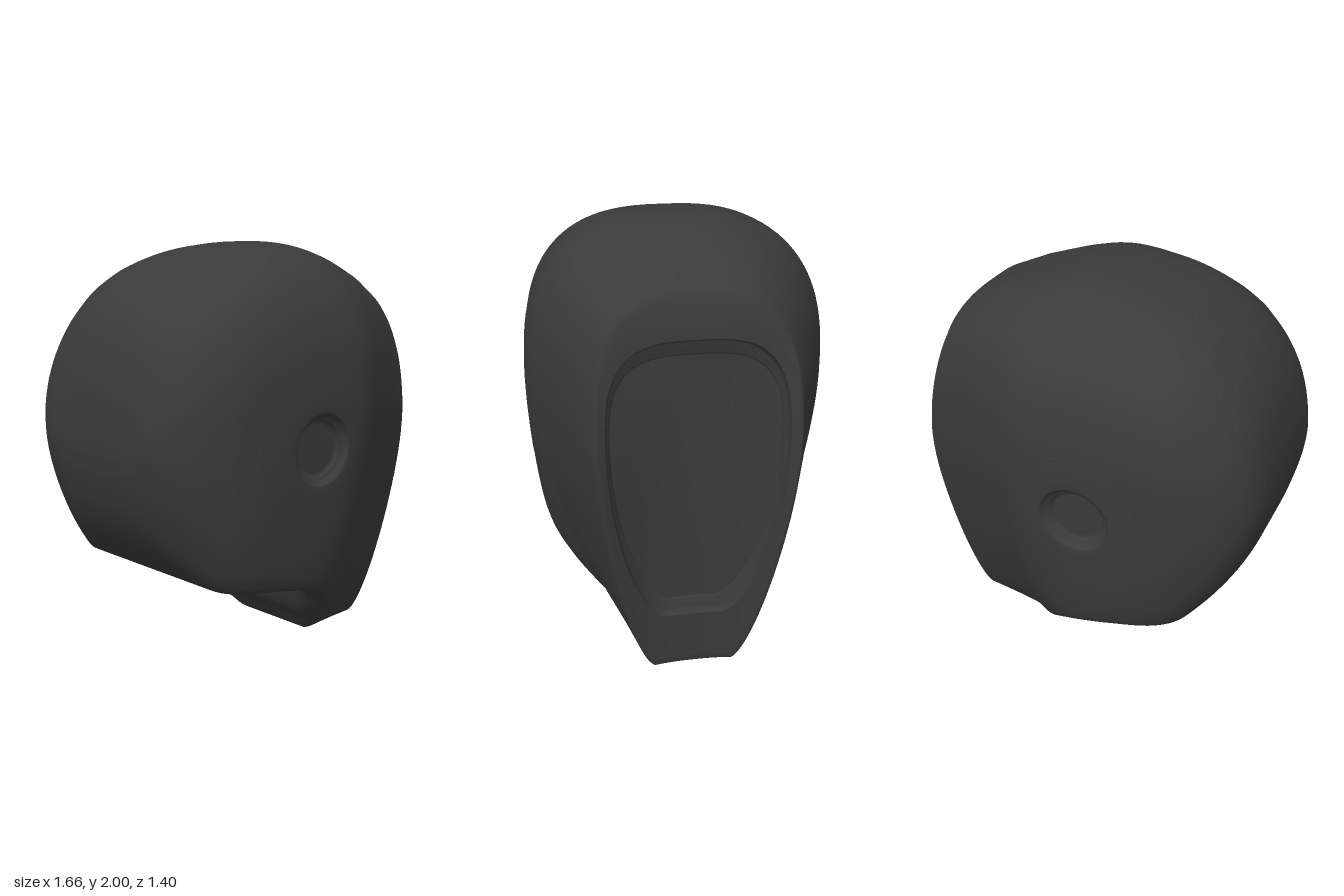
import * as THREE from 'three';

const material = new THREE.MeshStandardMaterial({ color: 0x3a3a3a, side: THREE.DoubleSide });
const { lerp, smoothstep } = THREE.MathUtils;

// Shell sections from back to front:
// x, bottom, top, half width, half width of flat bottom, widest height, lower and upper roundness
const ROWS = [
  [-0.832, 1.08, 1.22, 0.28, 0.05, 1.15, 2.2, 2],
  [-0.82, 0.98, 1.35, 0.37, 0.08, 1.16, 2.3, 2.1],
  [-0.77, 0.81, 1.55, 0.465, 0.14, 1.18, 2.4, 2.3],
  [-0.68, 0.65, 1.71, 0.545, 0.25, 1.2, 2.5, 2.4],
  [-0.56, 0.51, 1.825, 0.61, 0.38, 1.22, 2.5, 2.5],
  [-0.5, 0.475, 1.863, 0.632, 0.45, 1.23, 2.4, 2.55],
  [-0.4, 0.465, 1.912, 0.655, 0.53, 1.24, 2.3, 2.6],
  [-0.22, 0.45, 1.965, 0.677, 0.59, 1.25, 2.1, 2.7],
  [-0.04, 0.4, 1.993, 0.69, 0.59, 1.25, 2, 2.7],
  [0.08, 0.32, 2, 0.697, 0.53, 1.25, 1.9, 2.7],
  [0.17, 0.2, 1.992, 0.694, 0.42, 1.25, 1.75, 2.7],
  [0.25, 0.11, 1.975, 0.676, 0.32, 1.25, 1.65, 2.7],
  [0.32, 0.02, 1.955, 0.648, 0.215, 1.25, 1.6, 2.75],
  [0.5, 0.005, 1.895, 0.572, 0.19, 1.23, 1.55, 2.8],
];
const EAR = { x: -0.09, y: 1.09, cut: 0.17 };

// Smoothly interpolated section at row position t
function rowAt(t) {
  const last = ROWS.length - 1, i = Math.min(Math.floor(t), last - 1), f = t - i;
  const [a, b, c, d] = [i - 1, i, i + 1, i + 2].map((k) => ROWS[Math.min(Math.max(k, 0), last)]);
  const h = c[0] - b[0];
  return b.map((v, k) => {
    const m0 = h * (c[k] - a[k]) / (c[0] - a[0]), m1 = h * (d[k] - v) / (d[0] - b[0]), e = c[k] - v;
    return v + f * (m0 + f * (3 * e - 2 * m0 - m1 + f * (m0 + m1 - 2 * e)));
  });
}

// Closed loop: flat bottom, rounded lower side, rounded top, mirrored across z
function makeLoop([x, yb, yt, w, wb, yc, m, n], xOf = () => x, neckDepth = 0) {
  const half = [];
  const add = (y, z) => half.push(new THREE.Vector3(xOf(y, z), y, z));
  for (let i = 0; i < 18; i++) {
    const s = i / 18;
    add(yb + neckDepth * (1 - smoothstep(s, 0.66, 0.84)), wb * s);
  }
  for (let i = 0; i < 28; i++) {
    const a = (i / 28) * Math.PI / 2;
    add(yc - (yc - yb) * Math.cos(a) ** (2 / m), wb + (w - wb) * Math.sin(a) ** (2 / m));
  }
  for (let i = 0; i <= 28; i++) {
    const a = (i / 28) * Math.PI / 2;
    add(yc + (yt - yc) * Math.sin(a) ** (2 / n), w * Math.max(0, Math.cos(a)) ** (2 / n));
  }
  half[half.length - 1].z = 0;
  const mirror = half.slice(1, -1).reverse().map((p) => new THREE.Vector3(p.x, p.y, -p.z));
  return [...half, ...mirror];
}

// Skin a list of loops; triangles with a corner where skip() is true are left out
function loft(name, loops, skip) {
  const n = loops[0].length, index = [], pts = loops.flat();
  for (let i = 0; i < loops.length - 1; i++) {
    for (let j = 0; j < n; j++) {
      const a = i * n + j, b = i * n + (j + 1) % n;
      index.push(a, a + n, b + n, a, b + n, b);
    }
  }
  const g = new THREE.BufferGeometry().setFromPoints(pts);
  g.setIndex(index);
  g.computeVertexNormals();
  if (skip) {
    const kept = [];
    for (let i = 0; i < index.length; i += 3) {
      const tri = index.slice(i, i + 3);
      if (!tri.some((k) => skip(pts[k]))) kept.push(...tri);
    }
    g.setIndex(kept);
  }
  const mesh = new THREE.Mesh(g, material);
  mesh.name = name;
  return mesh;
}

// Front surface: hollow across the middle, rolling back over the brow
function frontX(y, z) {
  const centre = 0.728 - 1.1 * Math.max(0, y - 1.6) ** 2 - 0.015 * Math.max(0, 0.8 - y);
  const hollow = 1 - Math.min(1, Math.max(0, (y - 0.9) / 0.76)) ** 2;
  return centre + 0.86 * hollow * Math.abs(z) ** 2.5;
}
const faceLoop = (dims, offset = 0) => makeLoop([0, ...dims], (y, z) => frontX(y, z) + offset);

// Half width of the shell at a point on its side
function sideZ(x, y) {
  let lo = 0, hi = ROWS.length - 1;
  for (let k = 0; k < 30; k++) {
    const mid = (lo + hi) / 2;
    if (rowAt(mid)[0] < x) lo = mid; else hi = mid;
  }
  const [, yb, yt, w, wb, yc, m, n] = rowAt(lo);
  return y > yc
    ? w * (1 - ((y - yc) / (yt - yc)) ** n) ** (1 / n)
    : wb + (w - wb) * (1 - ((yc - y) / (yc - yb)) ** m) ** (1 / m);
}

// Recessed round dish on the side, with a flange lying on the shell
function earDish(name, side) {
  const profile = [[0.3, 0], [0.26, 0.002], [0.21, 0.002], [0.168, 0.002], [0.16, -0.004], [0.15, -0.024],
    [0.134, -0.03], [0.128, -0.034], [0.124, -0.045], [0.11, -0.046], [0, -0.046]];
  const loops = profile.map(([r, depth]) => Array.from({ length: 48 }, (_, i) => {
    const a = side * (i / 48) * Math.PI * 2;
    const x = EAR.x + r * Math.cos(a), y = EAR.y + r * Math.sin(a);
    return new THREE.Vector3(x, y, side * (sideZ(x, y) + depth));
  }));
  return loft(name, loops.map((l) => l.reverse()).reverse());
}

export function createModel() {
  const group = new THREE.Group();
  group.name = 'helmet';

  // Shell with the hollow neck opening underneath
  const loops = [];
  const steps = (ROWS.length - 1) * 5;
  for (let i = 0; i <= steps; i++) {
    const row = rowAt(i / 5), x = row[0];
    const depth = 0.17 * smoothstep(x, -0.44, -0.33) * (1 - smoothstep(x, 0.08, 0.22));
    loops.push(makeLoop(row, undefined, depth));
  }
  const back = new THREE.Vector3(-0.833, 1.15, 0);
  loops.unshift(loops[0].map(() => back.clone()));

  // Front rim, rounded over into the hollow face
  const rim = faceLoop([0, 1.82, 0.44, 0.18, 1.2, 1.5, 3], -0.01);
  const body = loops[loops.length - 1];
  for (let k = 1; k <= 6; k++) {
    loops.push(body.map((p, j) => p.clone().lerp(rim[j], k / 6)));
  }
  const lip = [0.04, 1.755, 0.418, 0.165, 1.2, 1.52, 3];
  const opening = [0.28, 1.63, 0.392, 0.13, 1.17, 1.7, 3.2];
  loops.push(
    faceLoop([0.01, 1.8, 0.431, 0.174, 1.2, 1.5, 3], -0.001),
    faceLoop(lip),
    faceLoop(opening.map((v, i) => lerp(v, lip[i], 0.5))),
    faceLoop(opening.map((v, i) => lerp(v, lip[i], 0.15))),
    faceLoop(opening),
  );
  group.add(loft('shell', loops,
    (p) => Math.hypot(p.x - EAR.x, p.y - EAR.y) < EAR.cut && Math.abs(p.z) > 0.5));

  // Stepped recess around the visor
  const inner = [0.35, 1.55, 0.368, 0.105, 1.15, 1.7, 3.3];
  group.add(loft('visorRecess', [
    faceLoop(opening),
    faceLoop([0.287, 1.622, 0.387, 0.128, 1.17, 1.7, 3.2], -0.02),
    faceLoop([0.3, 1.61, 0.382, 0.125, 1.17, 1.7, 3.2], -0.03),
    faceLoop([0.34, 1.56, 0.373, 0.11, 1.16, 1.7, 3.3], -0.034),
    faceLoop(inner, -0.046),
  ]));

  // Visor plate
  const plate = faceLoop(inner, -0.046);
  group.add(loft('visor', [1, 0.8, 0.6, 0.4, 0.2, 0].map((s) => plate.map((p) => {
    const y = lerp(1, p.y, s), z = p.z * s;
    return new THREE.Vector3(frontX(y, z) - 0.046, y, z);
  }))));

  // Side dishes
  group.add(earDish('leftSideDish', 1), earDish('rightSideDish', -1));
  return group;
}
